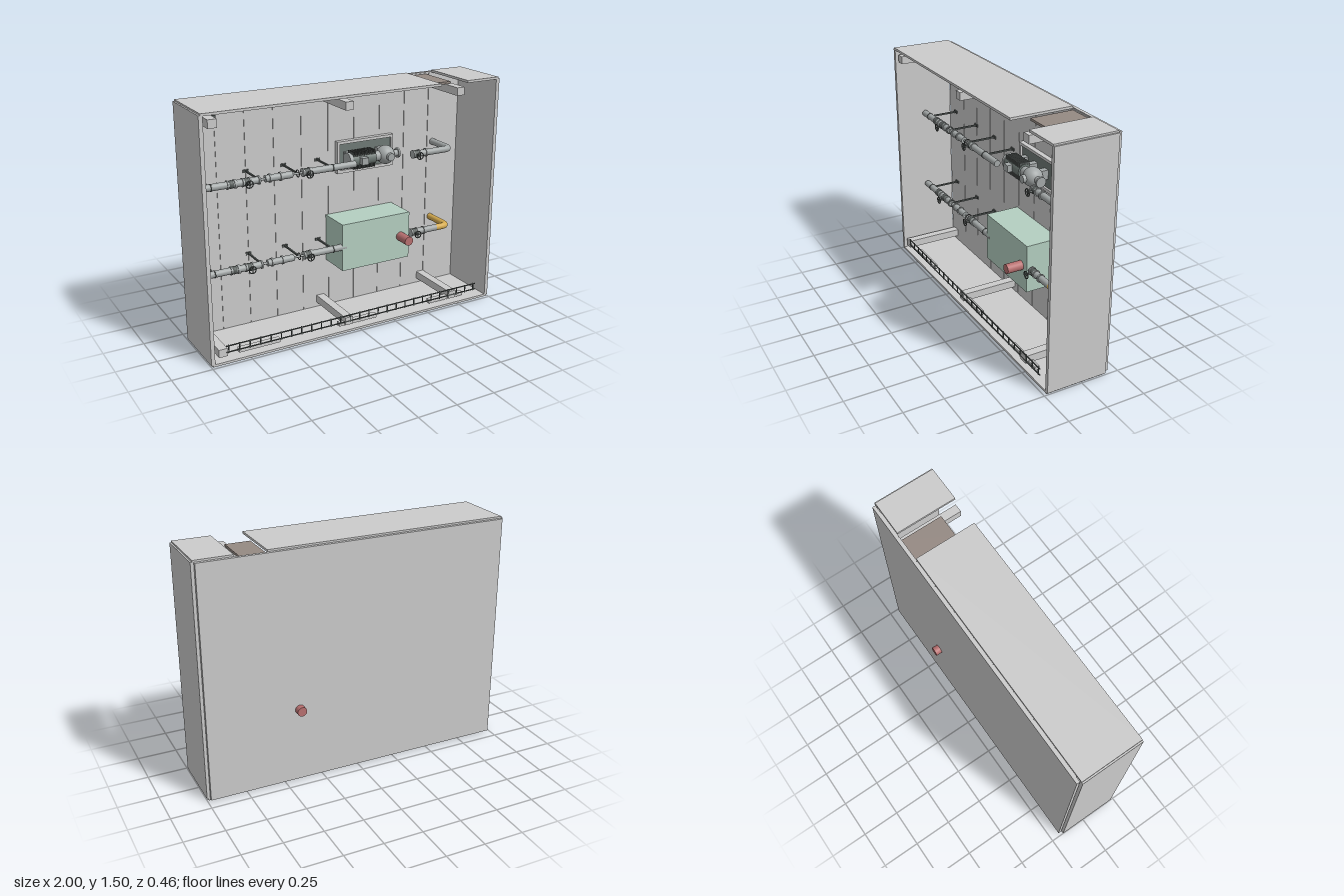
import * as THREE from 'three';

const mat = (color = 0xcccccc) => new THREE.MeshStandardMaterial({ color });
const GREY = mat(), STEEL = mat(0xa4a9a9), DARK = mat(0x565c5a), PLATE = mat(0x6f7a76);
const GREEN = mat(0xb4cfc1), RED = mat(0xb87070), GOLD = mat(0xd6ac50), BROWN = mat(0x958a83);

function add(parent, name, geometry, material, x = 0, y = 0, z = 0) {
  const mesh = new THREE.Mesh(geometry, material);
  mesh.name = name;
  mesh.position.set(x, y, z);
  parent.add(mesh);
  return mesh;
}

// Box given by its limits on each axis
function box(parent, name, [x0, x1], [y0, y1], [z0, z1], material = GREY) {
  return add(parent, name, new THREE.BoxGeometry(x1 - x0, y1 - y0, z1 - z0), material,
    (x0 + x1) / 2, (y0 + y1) / 2, (z0 + z1) / 2);
}

// Cylinders along x and along z
function rodX(parent, name, x0, x1, r, y, z, material = STEEL) {
  const g = new THREE.CylinderGeometry(r, r, x1 - x0, 24).rotateZ(Math.PI / 2);
  return add(parent, name, g, material, (x0 + x1) / 2, y, z);
}
function rodZ(parent, name, z0, z1, r, x, y, material = STEEL) {
  const g = new THREE.CylinderGeometry(r, r, z1 - z0, 24).rotateX(Math.PI / 2);
  return add(parent, name, g, material, x, y, (z0 + z1) / 2);
}

function group(parent, name) {
  const g = new THREE.Group();
  g.name = name;
  parent.add(g);
  return g;
}

const BACK = -0.165, FRONT = 0.23, PIPE_Z = 0.035, PIPE_R = 0.021;

function buildShell(root) {
  const shell = group(root, 'shell');
  const depth = [BACK, FRONT];
  box(shell, 'floorSlab', [-0.99, 0.99], [0, 0.015], depth);
  box(shell, 'roofSlabRight', [-0.99, 0.56], [1.49, 1.505], depth);
  box(shell, 'roofSlabLeft', [0.755, 0.99], [1.49, 1.505], depth);
  for (const s of [-1, 1]) {
    add(shell, 'sideWall', new THREE.BoxGeometry(0.024, 1.485, FRONT - BACK), GREY,
      s * 0.988, 0.7525, (BACK + FRONT) / 2);
  }
  box(shell, 'backWall', [-0.982, 0.982], [0.012, 1.495], [-0.19, -0.169]);
  // Boards lining the back wall, with narrow seams
  const pitch = 0.1875;
  for (let x = -0.95; x < 0.9; x += pitch) {
    box(shell, 'wallBoard', [x + 0.002, Math.min(x + pitch - 0.002, 0.975)], [0.015, 1.49], [-0.169, BACK]);
  }
  box(shell, 'roofHatch', [0.56, 0.715], [1.468, 1.482], [-0.169, 0.105], BROWN);
  box(shell, 'wallSwitch', [-0.807, -0.752], [1.333, 1.387], [BACK, -0.155], DARK);

  // Cross beams at floor and roof
  for (const x of [-0.92, -0.075, 0.712]) {
    for (const y of [0.07, 1.44]) {
      box(shell, 'crossBeam', [x - 0.027, x + 0.027], [y - 0.025, y + 0.025], [BACK, 0.22]);
    }
  }
}

function buildLadder(root) {
  const ladder = group(root, 'cableLadder');
  for (const y of [0.069, 0.109]) box(ladder, 'rail', [-0.9, 0.9], [y - 0.003, y + 0.003], [0.217, 0.223], DARK);
  for (let i = 0; i < 27; i++) {
    const x = -0.885 + i * 0.068;
    box(ladder, 'rung', [x - 0.003, x + 0.003], [0.062, 0.115], [0.217, 0.223], DARK);
  }
  for (const x of [-0.677, 0, 0.677]) box(ladder, 'floorLamp', [x - 0.135, x + 0.135], [0.035, 0.06], [0.17, 0.2]);
}

// Flanged valve body, optionally with a handwheel facing the front
function buildValve(parent, x, y, wheel) {
  const valve = group(parent, 'valve');
  add(valve, 'body', new THREE.SphereGeometry(0.025, 20, 14), DARK, x, y, PIPE_Z);
  for (const s of [-1, 1]) {
    rodX(valve, 'flange', x + s * 0.022 - 0.004, x + s * 0.022 + 0.004, 0.027, y, PIPE_Z);
  }
  if (!wheel) return;
  rodZ(valve, 'stem', PIPE_Z, 0.09, 0.006, x, y, DARK);
  add(valve, 'handwheel', new THREE.TorusGeometry(0.022, 0.0035, 8, 24), DARK, x, y, 0.09);
  for (const a of [0, Math.PI / 2]) {
    add(valve, 'spoke', new THREE.BoxGeometry(0.044, 0.004, 0.004), DARK, x, y, 0.09).rotation.z = a;
  }
}

// One pipe run; outlet is the material of its last stretch and elbow
function buildPipeRun(root, name, y, endX, outlet) {
  const run = group(root, name);
  const pieces = [[-0.96, -0.78], [-0.78, -0.575], [-0.54, -0.365], [-0.295, endX], [0.495, 0.69]];
  for (const [a, b] of pieces) rodX(run, 'pipe', a, b, PIPE_R, y, PIPE_Z);
  for (const [a, b] of [[-0.575, -0.54], [-0.365, -0.295]]) rodX(run, 'thinLink', a, b, 0.007, y, PIPE_Z);
  for (const x of [-0.725, -0.58, -0.51, -0.44, -0.24, 0.59]) {
    rodX(run, 'collar', x - 0.005, x + 0.005, 0.027, y, PIPE_Z);
  }
  buildValve(run, -0.755, y, false);
  for (const x of [-0.66, -0.27, 0.515]) buildValve(run, x, y, true);

  // Outlet stretch bending back into the wall
  const path = new THREE.CurvePath();
  const v = (x, z) => new THREE.Vector3(x, y, z);
  path.add(new THREE.LineCurve3(v(0.69, PIPE_Z), v(0.74, PIPE_Z)));
  path.add(new THREE.QuadraticBezierCurve3(v(0.74, PIPE_Z), v(0.78, PIPE_Z), v(0.78, PIPE_Z - 0.04)));
  path.add(new THREE.LineCurve3(v(0.78, PIPE_Z - 0.04), v(0.78, BACK)));
  add(run, 'outletElbow', new THREE.TubeGeometry(path, 40, PIPE_R, 20), outlet);

  // Wall brackets with a foot plate at the back and a clamp round the pipe
  for (const x of [-0.88, -0.575, -0.325, -0.09]) {
    box(run, 'bracketArm', [x - 0.005, x + 0.005], [y - 0.005, y + 0.005], [BACK, PIPE_Z], DARK);
    box(run, 'bracketFoot', [x - 0.018, x + 0.018], [y - 0.009, y + 0.009], [BACK, -0.158], DARK);
    add(run, 'bracketClamp', new THREE.TorusGeometry(PIPE_R, 0.003, 8, 24).rotateY(Math.PI / 2), DARK, x, y, PIPE_Z);
  }
}

function buildPump(root) {
  const pump = group(root, 'pump');
  const y = 1.022, z = -0.05;
  // Framed base plate on the wall
  box(pump, 'plateBack', [0.06, 0.435], [0.935, 1.105], [BACK, -0.145], PLATE);
  for (const r of [[0.915, 0.935], [1.105, 1.123]]) box(pump, 'plateFrame', [0.04, 0.45], r, [BACK, -0.132]);
  for (const r of [[0.04, 0.058], [0.435, 0.45]]) box(pump, 'plateFrame', r, [0.935, 1.105], [BACK, -0.132]);

  // Motor with cooling fins, end cap and terminal box
  rodX(pump, 'motor', 0.07, 0.25, 0.045, y, z, PLATE);
  rodX(pump, 'fanCover', 0.06, 0.08, 0.05, y, z, STEEL);
  for (let i = 0; i < 13; i++) {
    const x = 0.092 + i * 0.0125;
    box(pump, 'coolingFin', [x - 0.003, x + 0.003], [y - 0.055, y + 0.055], [z - 0.035, z + 0.035], DARK);
  }
  box(pump, 'terminalBox', [0.128, 0.174], [y - 0.022, y + 0.022], [z + 0.03, z + 0.075], STEEL);
  for (const x of [0.11, 0.22, 0.34]) {
    box(pump, 'mount', [x - 0.02, x + 0.02], [y - 0.03, y + 0.03], [-0.145, z], STEEL);
  }

  // Shaft housing, round casing and nozzles
  rodX(pump, 'shaftHousing', 0.25, 0.3, 0.032, y, z);
  add(pump, 'casing', new THREE.SphereGeometry(0.06, 28, 20), STEEL, 0.34, y, z);
  rodZ(pump, 'frontNozzle', z, z + 0.075, 0.025, 0.34, y);
  rodX(pump, 'sideNozzle', 0.39, 0.425, 0.022, y, z);
  rodX(pump, 'sideFlange', 0.425, 0.437, 0.032, y, z);
}

export function createModel() {
  const root = new THREE.Group();
  root.name = 'pumpCabinet';
  buildShell(root);
  buildLadder(root);
  buildPipeRun(root, 'upperPipeRun', 1.022, 0.07, STEEL);
  buildPipeRun(root, 'lowerPipeRun', 0.49, 0, GOLD);
  buildPump(root);
  box(root, 'housingBox', [-0.03, 0.465], [0.335, 0.645], [BACK, 0.055], GREEN);
  rodZ(root, 'throughPipe', -0.23, 0.16, 0.03, 0.398, 0.49, RED);
  return root;
}
